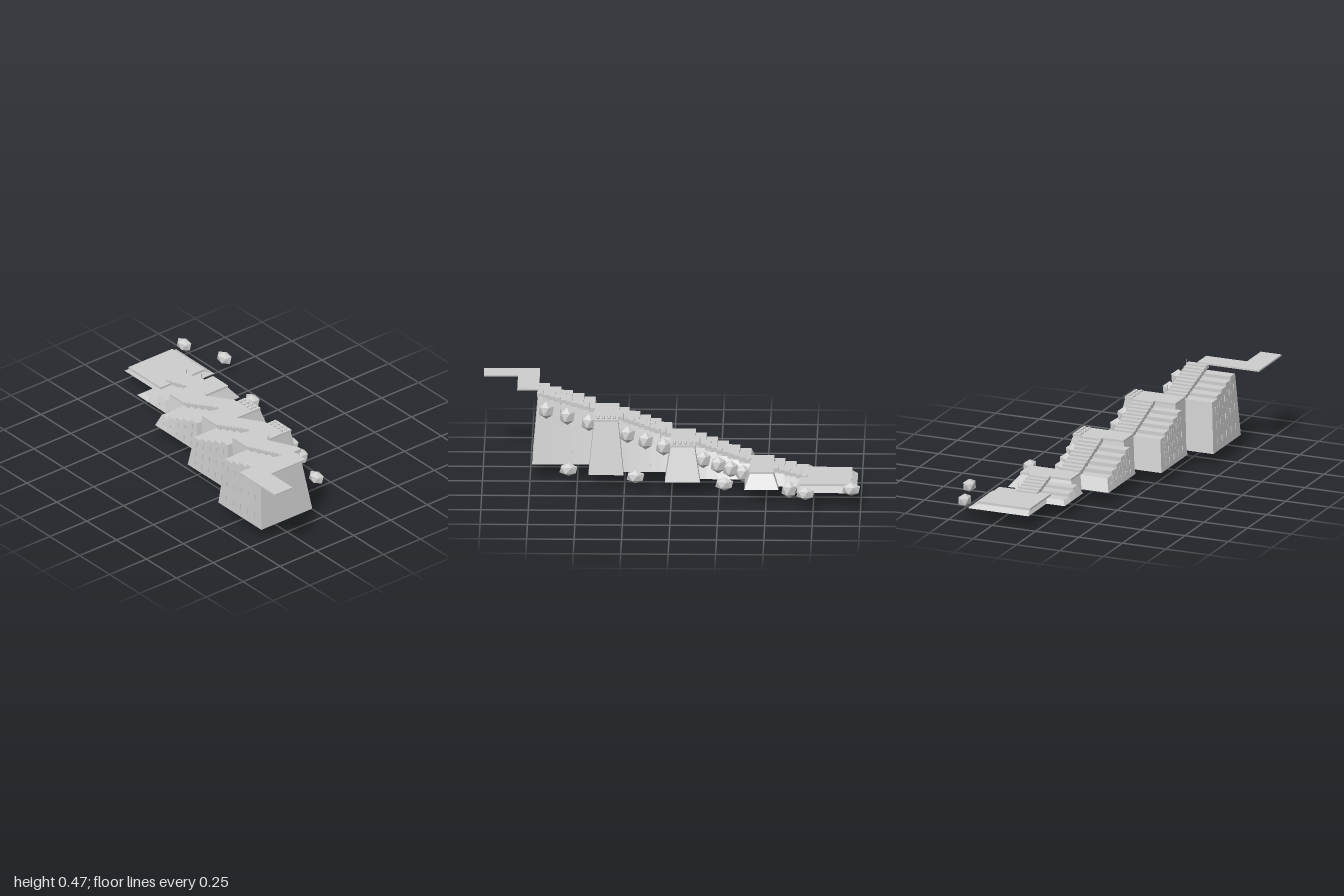
import * as THREE from 'three';

export function createModel() {
  const model = new THREE.Group();
  const stone = new THREE.MeshStandardMaterial({ color: 0xcccccc });
  stone.name = 'pale stone';
  const GROUND = 0.07;

  const add = (name, geometry, x = 0, y = 0, z = 0) => {
    const mesh = new THREE.Mesh(geometry, stone);
    mesh.name = name;
    mesh.position.set(x, y, z);
    model.add(mesh);
    return mesh;
  };

  // Box given by its limits
  const slab = (name, x0, x1, y0, y1, z0, z1) =>
    add(name, new THREE.BoxGeometry(x1 - x0, y1 - y0, z1 - z0),
      (x0 + x1) / 2, (y0 + y1) / 2, (z0 + z1) / 2);

  // Battered wall block: limits are those of its top, the foot spreads outwards
  const FLARE = { left: 0.03, right: 0.03, back: 0.06, front: 0.02 };
  function battered(name, x0, x1, top, z0, z1, flare = FLARE) {
    const g = new THREE.BoxGeometry(x1 - x0, top - GROUND, z1 - z0);
    g.translate((x0 + x1) / 2, (top + GROUND) / 2, (z0 + z1) / 2);
    const p = g.attributes.position;
    const cx = (x0 + x1) / 2, cz = (z0 + z1) / 2, cy = (top + GROUND) / 2;
    for (let i = 0; i < p.count; i++) {
      if (p.getY(i) > cy) continue;
      p.setX(i, p.getX(i) + (p.getX(i) < cx ? -flare.left : flare.right));
      p.setZ(i, p.getZ(i) + (p.getZ(i) < cz ? -flare.back : flare.front));
    }
    g.computeVertexNormals();
    return add(name, g);
  }

  // Faceted lump with a corner pointing up, squashed to three radii
  const lumpGeometry = new THREE.IcosahedronGeometry(1, 0);
  lumpGeometry.rotateZ(Math.atan(2 / (1 + Math.sqrt(5))));
  function lump(name, x, y, z, rx, ry, rz) {
    add(name, lumpGeometry, x, y, z).scale.set(rx, ry, rz);
  }

  // Flights: x limits, lower and upper level, back of treads, columns, bush positions
  const flights = [
    { x0: -0.715, x1: -0.535, low: 0.105, high: 0.152, z: -0.235, n: 3, bushes: [-0.62] },
    { x0: -0.415, x1: -0.12, low: 0.152, high: 0.257, z: -0.115, n: 5, bushes: [-0.375, -0.31, -0.245, -0.165] },
    { x0: 0.005, x1: 0.285, low: 0.257, high: 0.357, z: 0.005, n: 5, bushes: [0.045, 0.14, 0.235] },
    { x0: 0.41, x1: 0.71, low: 0.357, high: 0.446, z: 0.125, n: 5, bushes: [0.44, 0.555, 0.665] },
  ];

  for (const f of flights) {
    const rise = f.high - f.low, w = (f.x1 - f.x0) / f.n, back = f.z + 0.005, front = f.z + 0.27;
    const level = (x) => f.low + rise * (x - f.x0) / (f.x1 - f.x0);

    // Stepped columns of the retaining wall
    for (let i = 0; i < f.n; i++) {
      const x = f.x0 + i * w, top = f.low + rise * i / f.n - 0.013;
      battered('wallColumn', x, x + w, top, back, front, {
        left: i === 0 ? 0.03 : 0.002, right: i === f.n - 1 ? 0.03 : 0.002, back: 0.06, front: 0.02,
      });
      // Narrow drain slots down the front
      const h = top - GROUND;
      const slots = Math.min(3, Math.floor(h / 0.05));
      for (let k = 0; k < slots; k++) {
        const t = (k + 0.6) / (slots + 0.2);
        add('drainSlot', new THREE.BoxGeometry(0.005, Math.min(0.035, h * 0.2), 0.008),
          x + w / 2, GROUND + h * t, front + 0.02 * (1 - t));
      }
    }

    // Treads
    const steps = f.n * 2, run = (f.x1 - f.x0) / steps;
    for (let i = 0; i < steps; i++) {
      const x = f.x0 + i * run, y = f.low + rise * (i + 1) / steps;
      slab('stairTread', x, x + run + 0.004, y - rise / steps - 0.012, y, f.z, f.z + 0.117);
    }

    // Slim posts beside the foot and head of the flight
    for (const x of [f.x0 + 0.028, f.x1 - 0.028]) {
      const y = level(x);
      add('post', new THREE.CylinderGeometry(0.002, 0.002, 0.04, 6), x, y + 0.012, f.z + 0.001);
    }

    // Bushes against the back wall
    for (const x of f.bushes) {
      lump('bush', x, f.n === 3 ? 0.048 : level(x) - 0.068, f.z - 0.037, 0.045, 0.048, 0.042);
    }
  }

  // Middle landings between flights
  for (let i = 1; i < 4; i++) {
    const a = flights[i - 1], b = flights[i], y = b.low;
    const back = b.z - 0.175, front = b.z + 0.115;
    battered('landingBlock', a.x1, b.x0, y - 0.01, back, front);
    slab('landingSlab', a.x1 - 0.003, b.x0 + 0.003, y - 0.012, y, back - 0.003, front);
    // Two rows of round studs at the back edge
    if (i > 1) {
      for (let c = 0; c < 4; c++) for (let r = 0; r < 2; r++) {
        add('stud', new THREE.SphereGeometry(0.008, 8, 6),
          a.x1 + 0.019 + c * 0.029, y + 0.005, back + 0.018 + r * 0.027);
      }
    }
  }

  // Lowest landing
  battered('lowerBlock', -0.95, -0.68, 0.09, -0.35, -0.06,
    { left: 0.03, right: 0.02, back: 0.05, front: 0.01 });
  slab('lowerSlab', -0.95, -0.68, 0.094, 0.105, -0.35, -0.053);

  // Angled walkway at the top
  const walk = new THREE.Shape([
    [0.705, -0.18], [0.705, -0.535], [1, -0.535], [1, -0.415], [0.82, -0.415], [0.82, -0.18],
  ].map(([x, y]) => new THREE.Vector2(x, y)));
  const walkGeometry = new THREE.ExtrudeGeometry(walk, { depth: 0.009, bevelEnabled: false });
  walkGeometry.rotateX(-Math.PI / 2);
  add('topWalkway', walkGeometry, 0, 0.444, 0);

  // Loose boulders behind the stairs
  for (const [x, z] of [[-0.95, -0.43], [-0.71, -0.508], [-0.28, -0.35], [0.19, -0.233], [0.545, -0.115]]) {
    lump('boulder', x, 0.102, z, 0.053, 0.036, 0.035);
  }
  return model;
}
